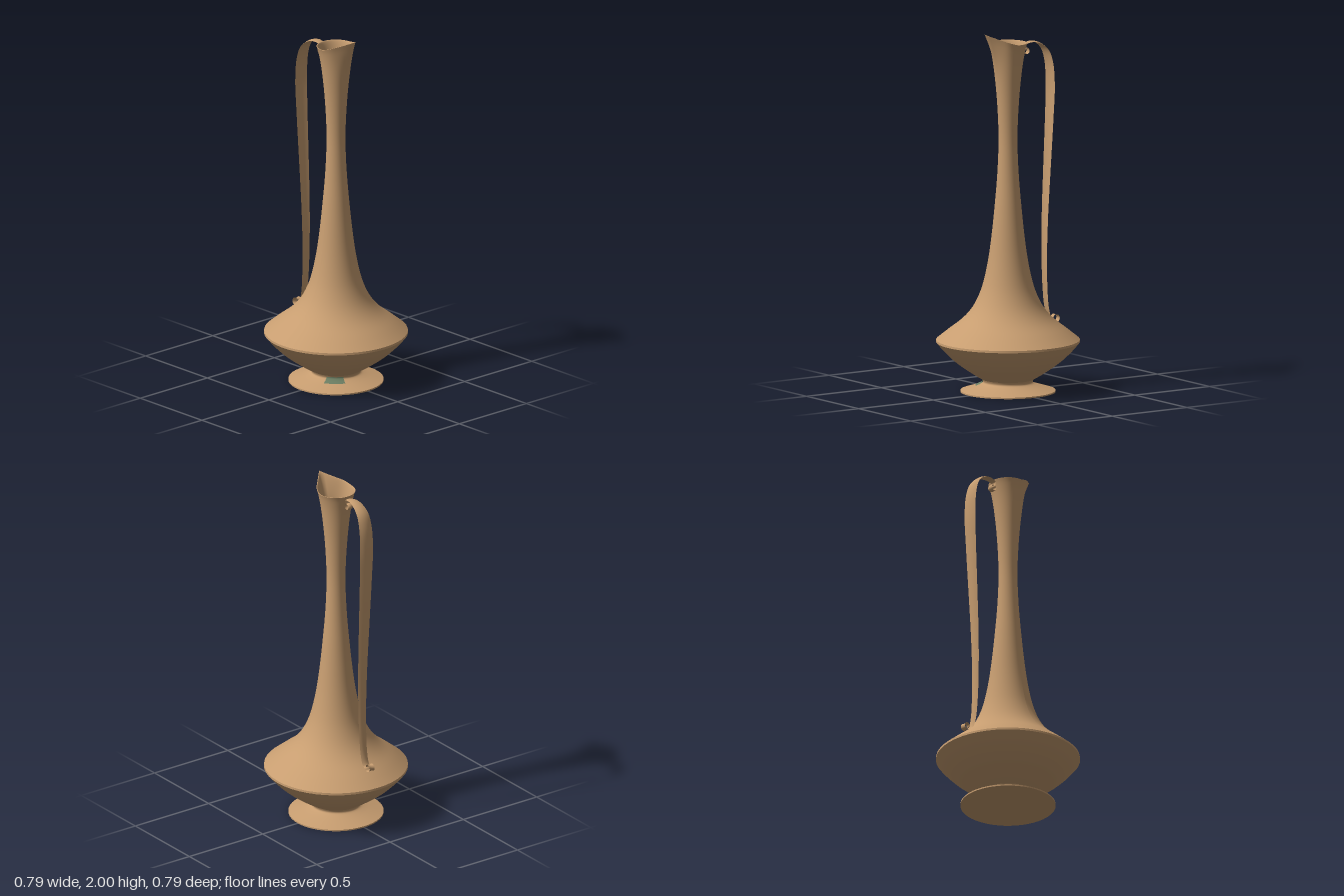
import * as THREE from 'three';

const clay = new THREE.MeshStandardMaterial({ color: 0xc79d70, side: THREE.DoubleSide });
clay.name = 'warm clay';
const patina = new THREE.MeshStandardMaterial({ color: 0x6b7d62, side: THREE.DoubleSide });
patina.name = 'green patina';

const SEGMENTS = 48;
const points = (list) => list.map(([r, y]) => new THREE.Vector2(r, y));
const smooth = (list, n) => new THREE.SplineCurve(points(list)).getPoints(n);

function add(group, name, geometry, material = clay) {
  const mesh = new THREE.Mesh(geometry, material);
  mesh.name = name;
  group.add(mesh);
  return mesh;
}

// Pulls the round mouth into a teardrop with a raised pouring tip towards +x
function shapeSpout(geometry) {
  const pos = geometry.attributes.position;
  const R = 0.107, tip = 0.156, a0 = Math.acos(R / tip);
  for (let i = 0; i < pos.count; i++) {
    const x = pos.getX(i), y = pos.getY(i), z = pos.getZ(i);
    const t = THREE.MathUtils.clamp((y - 1.72) / 0.22, 0, 1) ** 2;
    if (t === 0) continue;
    const a = Math.abs(Math.atan2(z, x));
    const drop = a < a0 ? 1 / Math.cos(a0 - a) : 1;
    const s = 1 + (drop - 1) * t;
    const lift = 0.06 * t * Math.max(0, x * s / tip) ** 1.3;
    pos.setXYZ(i, x * s, y + lift, z * s);
  }
  geometry.computeVertexNormals();
  return geometry;
}

// Curved strap swept along (x, y, half width) points
function strap(path, steps, across) {
  const curve = new THREE.CatmullRomCurve3(path.map((p) => new THREE.Vector3(...p)), false, 'centripetal');
  const verts = [], index = [];
  for (let i = 0; i <= steps; i++) {
    const p = curve.getPoint(i / steps);
    const d = curve.getTangent(i / steps);
    const len = Math.hypot(d.x, d.y) || 1;
    const bow = p.z * 0.2;
    for (let j = 0; j <= across; j++) {
      const v = (j / across) * 2 - 1;
      const off = bow * (v * v - 0.4);
      verts.push(p.x + (d.y / len) * -off, p.y + (d.x / len) * off, v * p.z);
      if (i < steps && j < across) {
        const a = i * (across + 1) + j, b = a + across + 1;
        index.push(a, b, a + 1, b, b + 1, a + 1);
      }
    }
  }
  const g = new THREE.BufferGeometry();
  g.setAttribute('position', new THREE.Float32BufferAttribute(verts, 3));
  g.setIndex(index);
  g.computeVertexNormals();
  return g;
}

// Clockwise scroll around a centre
function curl(cx, cy, r, start, w0, w1) {
  const out = [];
  for (let i = 0; i <= 8; i++) {
    const a = start - (i / 8) * Math.PI * 1.9;
    out.push([cx + r * Math.cos(a), cy + r * Math.sin(a), w0 + (w1 - w0) * (i / 8)]);
  }
  return out;
}

export function createModel() {
  const jug = new THREE.Group();
  jug.name = 'jug';

  // Foot with a closed underside
  const underside = add(jug, 'footUnderside', new THREE.CircleGeometry(0.262, SEGMENTS));
  underside.rotation.x = Math.PI / 2;
  add(jug, 'footEdge', new THREE.CylinderGeometry(0.262, 0.262, 0.008, SEGMENTS, 1, true)).position.y = 0.004;
  add(jug, 'foot', new THREE.LatheGeometry(
    smooth([[0.262, 0.008], [0.215, 0.022], [0.165, 0.038], [0.137, 0.052], [0.142, 0.07]], 14), SEGMENTS));

  // Bowl below the sharp shoulder
  add(jug, 'lowerBody', new THREE.LatheGeometry(
    smooth([[0.142, 0.07], [0.2, 0.105], [0.285, 0.165], [0.35, 0.225], [0.396, 0.278]], 14), SEGMENTS));
  add(jug, 'shoulderEdge', new THREE.CylinderGeometry(0.395, 0.396, 0.012, SEGMENTS, 1, true)).position.y = 0.284;

  // Upper body, neck and flared mouth
  const outer = smooth([
    [0.395, 0.29], [0.33, 0.342], [0.25, 0.405], [0.195, 0.47], [0.155, 0.55], [0.128, 0.64],
    [0.105, 0.76], [0.087, 0.9], [0.073, 1.04], [0.061, 1.18], [0.054, 1.31], [0.052, 1.42],
    [0.056, 1.54], [0.064, 1.66], [0.075, 1.77], [0.086, 1.85], [0.098, 1.91], [0.107, 1.94],
  ], 68);
  add(jug, 'bodyAndNeck', shapeSpout(new THREE.LatheGeometry(outer, SEGMENTS)));

  // Inner face of the mouth, joined at the lip
  const inner = smooth([[0.107, 1.94], [0.101, 1.938], [0.092, 1.91], [0.08, 1.85], [0.069, 1.77], [0.062, 1.7]], 16);
  add(jug, 'mouthLining', shapeSpout(new THREE.LatheGeometry(inner, SEGMENTS)));

  // Green faceted lining deep in the neck
  add(jug, 'neckLining', new THREE.CylinderGeometry(0.066, 0.044, 0.29, 8, 1, true), patina).position.y = 1.565;

  // Small green patch on the foot
  add(jug, 'footPatch', new THREE.LatheGeometry(
    points([[0.178, 0.037], [0.16, 0.044], [0.142, 0.054], [0.143, 0.064]]), 8, Math.PI / 4 - 0.34, 0.68), patina);

  // Strap handle with a scroll at each end
  const path = [
    ...curl(-0.118, 1.885, 0.018, Math.PI * 0.3, 0.017, 0.014).reverse(),
    [-0.106, 1.922, 0.018], [-0.15, 1.935, 0.024], [-0.2, 1.925, 0.031], [-0.25, 1.885, 0.038],
    [-0.278, 1.81, 0.042], [-0.288, 1.68, 0.044], [-0.281, 1.5, 0.041], [-0.265, 1.22, 0.036],
    [-0.251, 0.96, 0.031], [-0.246, 0.75, 0.027], [-0.25, 0.56, 0.024], [-0.262, 0.44, 0.022],
    [-0.28, 0.385, 0.021],
    ...curl(-0.314, 0.38, 0.019, -0.3, 0.02, 0.013),
  ];
  add(jug, 'handle', strap(path, 180, 6));

  return jug;
}
